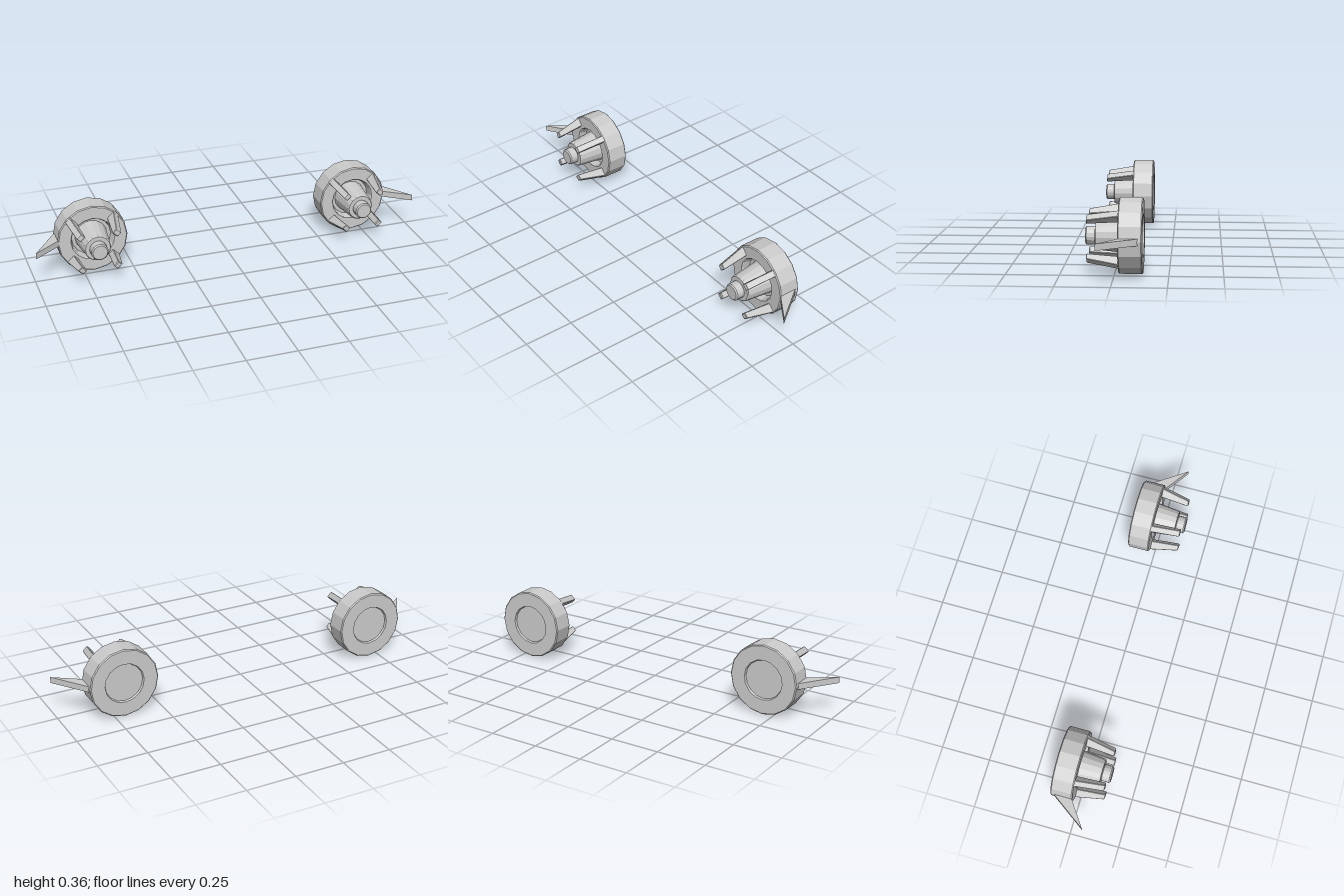
import * as THREE from 'three';

const material = new THREE.MeshStandardMaterial({ color: 0xcccccc, flatShading: true });

function part(name, geometry) {
  const mesh = new THREE.Mesh(geometry, material);
  mesh.name = name;
  return mesh;
}

// Turned part about the z axis; profile is [radius, z] from back to front
function turned(name, profile, sides = 16) {
  const points = profile.map(([r, z]) => new THREE.Vector2(r, z));
  return part(name, new THREE.LatheGeometry(points, sides).rotateX(Math.PI / 2));
}

// Flat outline given a thickness, centred on its own plane
function slab(outline, thickness, bevel = 0) {
  const shape = new THREE.Shape(outline.map(([a, b]) => new THREE.Vector2(a, b)));
  const depth = thickness - 2 * bevel;
  const geometry = new THREE.ExtrudeGeometry(shape, {
    depth, bevelEnabled: bevel > 0, bevelSize: bevel, bevelThickness: bevel,
    bevelOffset: -bevel, bevelSegments: 1,
  });
  return geometry.translate(0, 0, -depth / 2);
}

function createPod(side) {
  const pod = new THREE.Group();
  pod.name = side > 0 ? 'leftPod' : 'rightPod';

  // Drum with a shallow dish behind and a deeper well in front
  pod.add(turned('drum', [
    [0, -0.122], [0.098, -0.122], [0.102, -0.132], [0.173, -0.132], [0.178, -0.127],
    [0.178, -0.026], [0.173, -0.021], [0.112, -0.021], [0.108, -0.025],
    [0.1, -0.06], [0, -0.06],
  ]));

  // Tapered nozzle rising out of the well
  pod.add(turned('nozzle', [[0.083, -0.065], [0.078, -0.021], [0.067, 0.081], [0.063, 0.086], [0, 0.086]]));

  // Small plug at the tip
  pod.add(turned('plug', [
    [0.038, 0.084], [0.043, 0.089], [0.043, 0.127], [0.037, 0.133], [0, 0.133],
  ]));

  // Four tapering prongs on the diagonals; outline is [z, radius]
  const prong = slab([
    [-0.03, 0.126], [0.12, 0.112], [0.124, 0.116], [0.122, 0.138], [0.117, 0.142], [-0.03, 0.174],
  ], 0.033, 0.002).rotateY(-Math.PI / 2);
  for (let i = 0; i < 4; i++) {
    const mesh = part('prong', prong);
    mesh.rotation.z = Math.PI / 4 + i * Math.PI / 2;
    pod.add(mesh);
  }

  // Swept triangular fin on the outer side; outline is [x, z]
  const fin = [[0.165, -0.117], [0.175, -0.113], [0.303, 0.068], [0.175, -0.022], [0.165, -0.022]];
  pod.add(part('fin', slab(fin.map(([x, z]) => [x * side, z]), 0.031).rotateX(Math.PI / 2)));

  pod.position.set(0.697 * side, 0.179, 0);
  return pod;
}

export function createModel() {
  const model = new THREE.Group();
  model.name = 'podPair';
  for (const side of [-1, 1]) model.add(createPod(side));
  return model;
}
